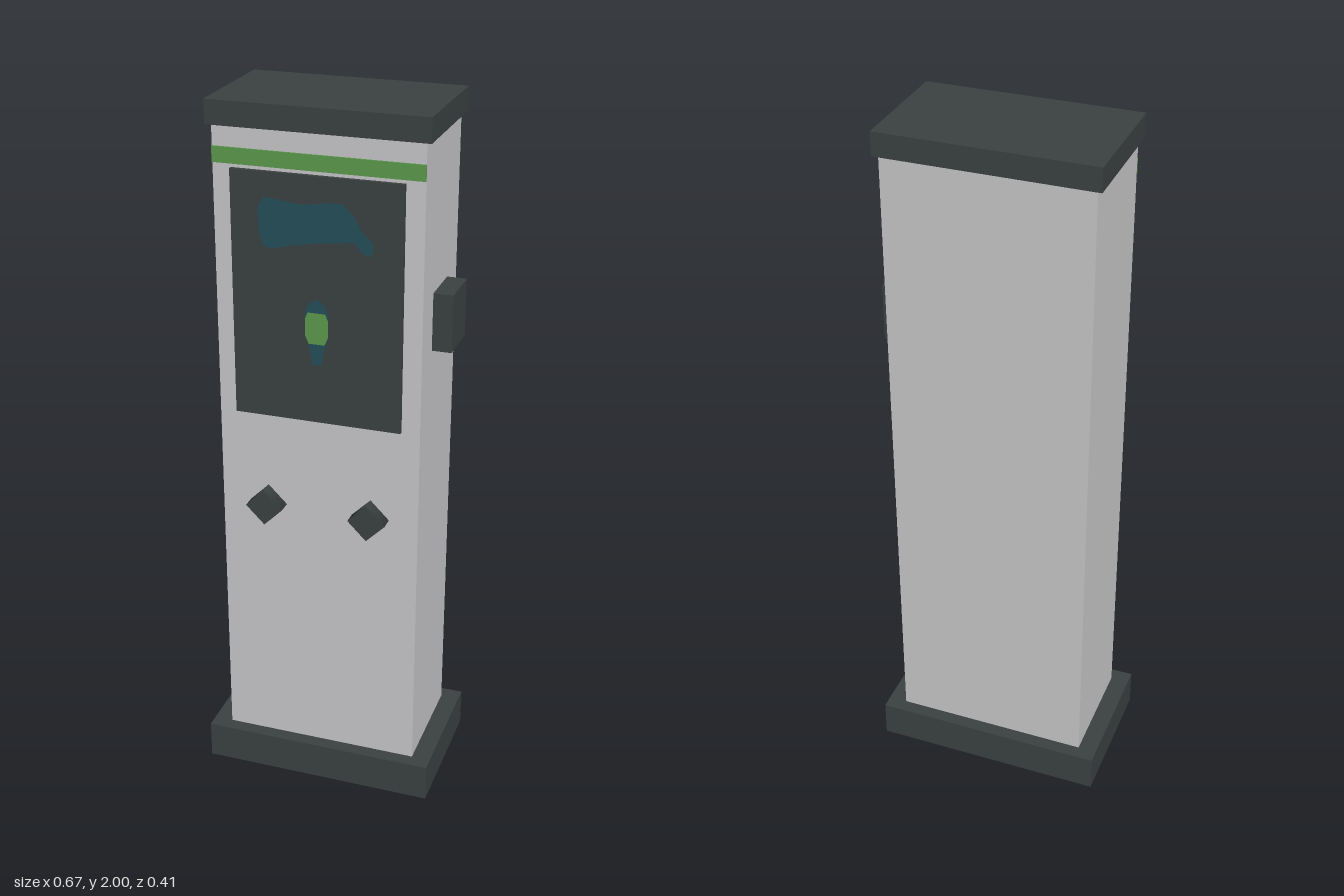
import * as THREE from 'three';

const mat = (name, color) => Object.assign(new THREE.MeshStandardMaterial({ color }), { name });

export function createModel() {
  const group = new THREE.Group();
  const dark = mat('charcoal', 0x3b4141);
  const grey = mat('light grey', 0xc8c8ca);
  const green = mat('green', 0x5c9a4e);
  const teal = mat('dark teal', 0x25505a);

  const add = (name, geometry, material, x = 0, y = 0, z = 0) => {
    const mesh = new THREE.Mesh(geometry, material);
    mesh.name = name;
    mesh.position.set(x, y, z);
    group.add(mesh);
    return mesh;
  };
  // Box given by its lower and upper corners
  const box = (name, material, a, b) => add(name,
    new THREE.BoxGeometry(b[0] - a[0], b[1] - a[1], b[2] - a[2]), material,
    (a[0] + b[0]) / 2, (a[1] + b[1]) / 2, (a[2] + b[2]) / 2);
  // Thin painted patch on the screen, outlined by points
  const patch = (name, material, points, z) => add(name,
    new THREE.ShapeGeometry(new THREE.Shape(points.map(p => new THREE.Vector2(...p)))), material, 0, 0, z);

  // Pillar
  box('base', dark, [-0.337, 0, -0.202], [0.337, 0.11, 0.202]);
  box('body', grey, [-0.283, 0.11, -0.163], [0.283, 1.94, 0.163]);
  box('cap', dark, [-0.297, 1.935, -0.174], [0.297, 2, 0.174]);

  // Front and side fittings
  box('stripe', green, [-0.283, 1.838, 0.162], [0.283, 1.88, 0.168]);
  box('screen', dark, [-0.233, 1.152, 0.162], [0.232, 1.828, 0.174]);
  box('sideBox', dark, [0.282, 1.355, -0.068], [0.337, 1.515, 0.068]);

  // Diamond-shaped sockets
  for (const side of [-1, 1]) {
    const socket = add(side < 0 ? 'rightSocket' : 'leftSocket',
      new THREE.CylinderGeometry(0.053, 0.053, 0.042, 4), dark, side * 0.148, 0.882, 0.182);
    socket.rotation.x = Math.PI / 2;
  }

  // Screen graphics
  patch('screenBanner', teal, [
    [-0.158, 1.735], [-0.155, 1.667], [-0.143, 1.632], [-0.125, 1.626], [-0.07, 1.64], [0.01, 1.655],
    [0.06, 1.66], [0.1, 1.666], [0.125, 1.638], [0.145, 1.633], [0.154, 1.65], [0.15, 1.672],
    [0.122, 1.695], [0.1, 1.735], [0.07, 1.763], [0.03, 1.763], [-0.03, 1.752], [-0.09, 1.757], [-0.14, 1.763],
  ], 0.1752);
  patch('screenDrop', teal, [
    [-0.012, 1.318], [0.012, 1.318], [0.022, 1.37], [0.032, 1.4], [0.032, 1.46],
    [0.022, 1.488], [0, 1.502], [-0.022, 1.488], [-0.032, 1.46], [-0.032, 1.4], [-0.022, 1.37],
  ], 0.1752);
  patch('screenLight', green, [
    [-0.022, 1.377], [0.022, 1.377], [0.032, 1.4], [0.032, 1.445],
    [0.024, 1.464], [-0.024, 1.464], [-0.032, 1.445], [-0.032, 1.4],
  ], 0.1764);

  return group;
}
